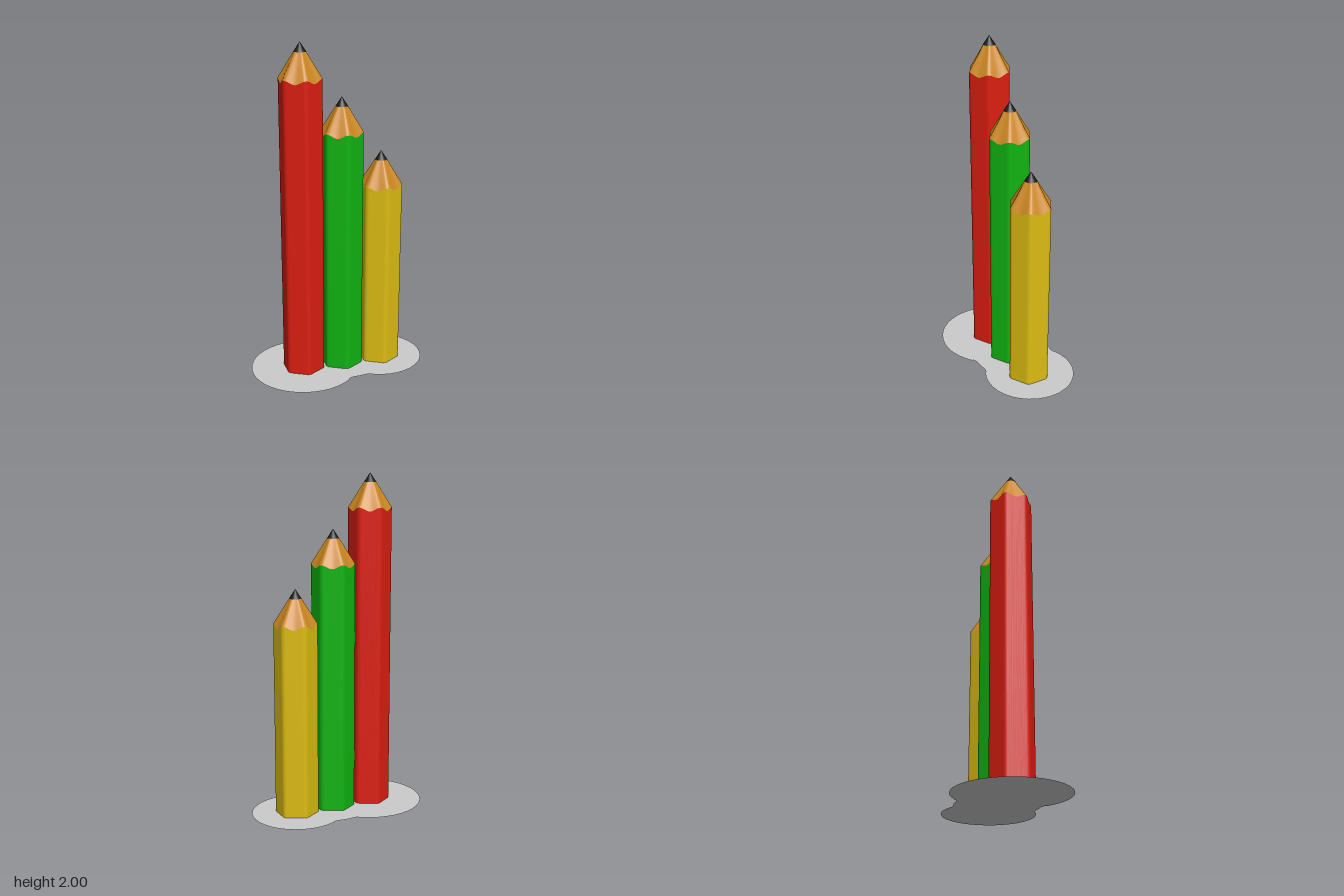
import * as THREE from 'three';

const APOTHEM = 0.115, FILLET = 0.03, LEAD_R = 0.036, LEAD_H = 0.055, TIP_H = 0.2, SCALLOP = 0.022;

// Hexagon with rounded corners, corners towards +z and -z; points as [x, z]
function hexOutline() {
  const pts = [], d = (APOTHEM - FILLET) / Math.cos(Math.PI / 6);
  for (let i = 0; i < 6; i++) {
    const c = Math.PI / 2 + i * Math.PI / 3;
    for (let k = -3; k <= 3; k++) {
      const a = c + k * Math.PI / 18;
      pts.push([d * Math.cos(c) + FILLET * Math.cos(a), d * Math.sin(c) + FILLET * Math.sin(a)]);
    }
    // points along the flat to the next corner
    const a = c + Math.PI / 6, half = d / 2;
    for (let k = -4; k <= 4; k++) {
      const t = k / 5 * half;
      pts.push([APOTHEM * Math.cos(a) - t * Math.sin(a), APOTHEM * Math.sin(a) + t * Math.cos(a)]);
    }
  }
  return pts;
}

// Skin between closed rings of [x, y, z], listed from bottom to top
function loft(rings) {
  const n = rings[0].length, index = [];
  for (let r = 0; r < rings.length - 1; r++) {
    for (let i = 0; i < n; i++) {
      const a = r * n + i, b = r * n + (i + 1) % n;
      index.push(a, a + n, b, b, a + n, b + n);
    }
  }
  const g = new THREE.BufferGeometry();
  g.setAttribute('position', new THREE.Float32BufferAttribute(rings.flat(2), 3));
  g.setIndex(index);
  g.computeVertexNormals();
  return g;
}

function part(name, geometry, color) {
  const mesh = new THREE.Mesh(geometry, new THREE.MeshStandardMaterial({ color }));
  mesh.name = name;
  return mesh;
}

function pencil(name, x, height, color) {
  const group = new THREE.Group();
  group.name = name;
  const hex = hexOutline();
  const shoulder = height - TIP_H;

  // Scalloped edge where paint meets wood: high at the corners, low on the flats
  const edge = hex.map(([px, pz]) => {
    const a = Math.atan2(pz, px) - Math.PI / 2;
    return [px, shoulder - SCALLOP * (1 - Math.cos(6 * a)) / 2, pz];
  });
  const foot = hex.map(([px, pz]) => [px, 0.002, pz]);
  const neck = hex.map(([px, pz]) => {
    const s = LEAD_R / Math.hypot(px, pz);
    return [px * s, height - LEAD_H, pz * s];
  });
  group.add(part('paintedBody', loft([foot, edge]), color));
  group.add(part('sharpenedWood', loft([edge, neck]), 0xcc8822));

  const lead = part('leadTip', new THREE.ConeGeometry(LEAD_R, LEAD_H, 36, 1, true), 0x1a1a1a);
  lead.position.y = height - LEAD_H / 2;
  group.add(lead);
  group.position.x = x;
  return group;
}

// Flat ground patch: a large and a smaller disc joined by a soft waist
function basePatch() {
  const pts = [];
  const arc = (cx, cy, r, from, to, n) => {
    for (let i = 0; i <= n; i++) {
      const a = THREE.MathUtils.degToRad(from + (to - from) * i / n);
      pts.push(new THREE.Vector2(cx + r * Math.cos(a), cy + r * Math.sin(a)));
    }
  };
  const waist = (...p) => {
    const curve = new THREE.SplineCurve(p.map(([x, y]) => new THREE.Vector2(x, y)));
    pts.push(...curve.getPoints(10));
  };
  arc(-0.215, 0, 0.33, 53, 309, 28);
  waist([0, -0.241], [0.03, -0.231], [0.07, -0.231], [0.115, -0.225], [0.14, -0.23]);
  arc(0.27, 0.007, 0.273, -114, 114, 22);
  waist([0.15, 0.249], [0.125, 0.245], [0.06, 0.253], [0.01, 0.25], [-0.005, 0.255]);
  const g = new THREE.ShapeGeometry(new THREE.Shape(pts));
  g.rotateX(-Math.PI / 2);
  const mesh = part('basePatch', g, 0xcccccc);
  mesh.material.side = THREE.DoubleSide;
  return mesh;
}

export function createModel() {
  const model = new THREE.Group();
  model.name = 'pencils';
  model.add(
    basePatch(),
    pencil('redPencil', -0.22, 2.0, 0xdc1e10),
    pencil('greenPencil', 0.025, 1.68, 0x10b412),
    pencil('yellowPencil', 0.27, 1.345, 0xdcbc12),
  );
  return model;
}
